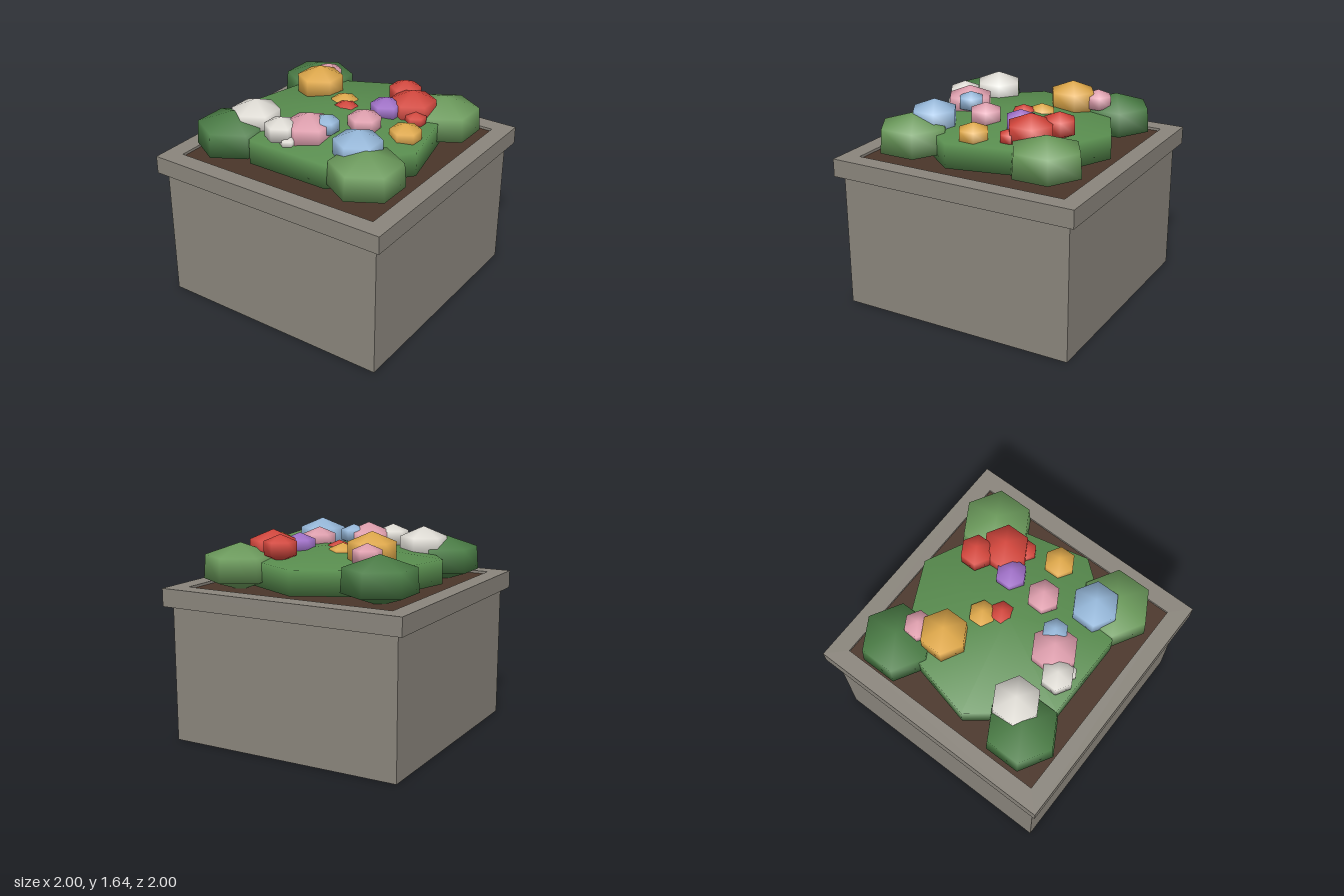
import * as THREE from 'three';

const mat = (color) => new THREE.MeshStandardMaterial({ color });

export function createModel() {
  const model = new THREE.Group();
  const add = (name, geometry, color, x = 0, y = 0, z = 0) => {
    const mesh = new THREE.Mesh(geometry, mat(color));
    mesh.name = name;
    mesh.position.set(x, y, z);
    model.add(mesh);
    return mesh;
  };

  // Low-poly blob: a peak, two rings of `sides` corners and a bottom point.
  // r is the ring radius, `flare` widens the lower ring.
  const blob = (r, ry, sides, flare = 1) => {
    const g = new THREE.SphereGeometry(1, sides, 3);
    g.rotateY(-Math.PI / 2);
    const k = r / Math.sin(Math.PI / 3);
    const p = g.attributes.position;
    for (let i = 0; i < p.count; i++) {
      const s = p.getY(i) < 0 ? k * flare : k;
      p.setXYZ(i, p.getX(i) * s, p.getY(i) * ry, p.getZ(i) * s);
    }
    const n = g.attributes.normal;
    const v = new THREE.Vector3();
    for (let i = 0; i < n.count; i++) {
      v.set(n.getX(i) / k, n.getY(i) / ry, n.getZ(i) / k).normalize();
      n.setXYZ(i, v.x, v.y, v.z);
    }
    return g;
  };

  // Stone planter body
  const stone = 0x8a857c;
  add('planterBody', new THREE.BoxGeometry(1.89, 1.06, 1.89), stone, 0, 0.53, 0);

  // Square rim with an opening
  const square = (Path, h) =>
    new Path([[-h, -h], [h, -h], [h, h], [-h, h]].map(([x, y]) => new THREE.Vector2(x, y)));
  const rimShape = square(THREE.Shape, 1);
  rimShape.holes.push(square(THREE.Path, 0.86));
  const rim = new THREE.ExtrudeGeometry(rimShape, { depth: 0.14, bevelEnabled: false });
  rim.rotateX(-Math.PI / 2);
  add('planterRim', rim, stone, 0, 1.06, 0);

  // Soil filling the rim
  add('soil', new THREE.BoxGeometry(1.72, 0.13, 1.72), 0x4a3529, 0, 1.115, 0);

  // Wide central mound of foliage
  add('foliageMound', blob(0.79, 0.19, 7), 0x588c4e, 0, 1.3, -0.02);

  // Corner bushes: x, z, colour
  const darkLeaf = 0x4a7c45, lightLeaf = 0x6b9a5b;
  [
    [-0.61, -0.57, darkLeaf],
    [0.58, -0.57, lightLeaf],
    [-0.59, 0.57, darkLeaf],
    [0.59, 0.54, lightLeaf],
  ].forEach(([x, z, color]) => add('cornerBush', blob(0.27, 0.185, 6, 1.05), color, x, 1.34, z));

  // Flower heads: x, z, radius, height of the peak, colour
  const white = 0xe0ddd6, yellow = 0xe0a94a, pink = 0xdf9fae;
  const red = 0xd4463c, blue = 0x96b8da, purple = 0xa070c8;
  [
    [-0.46, -0.48, 0.11, 1.58, pink],
    [-0.4, -0.29, 0.18, 1.64, yellow],
    [0.26, -0.51, 0.125, 1.6, red],
    [0.42, -0.36, 0.18, 1.61, red],
    [0.52, -0.24, 0.08, 1.5, red],
    [0.28, -0.2, 0.12, 1.575, purple],
    [-0.09, -0.18, 0.105, 1.52, yellow],
    [0, -0.07, 0.09, 1.52, red],
    [0.28, 0.1, 0.125, 1.585, pink],
    [0.59, 0.02, 0.12, 1.53, yellow],
    [-0.48, 0.43, 0.185, 1.6, white],
    [0, 0.41, 0.18, 1.605, pink],
    [0.1, 0.34, 0.1, 1.59, blue],
    [-0.15, 0.55, 0.125, 1.585, white],
    [-0.06, 0.59, 0.06, 1.47, white],
    [0.455, 0.445, 0.18, 1.61, blue],
  ].forEach(([x, z, r, top, color]) => {
    const ry = r * 0.85;
    add('flowerHead', blob(r, ry, 6), color, x, top - ry, z);
  });

  return model;
}
